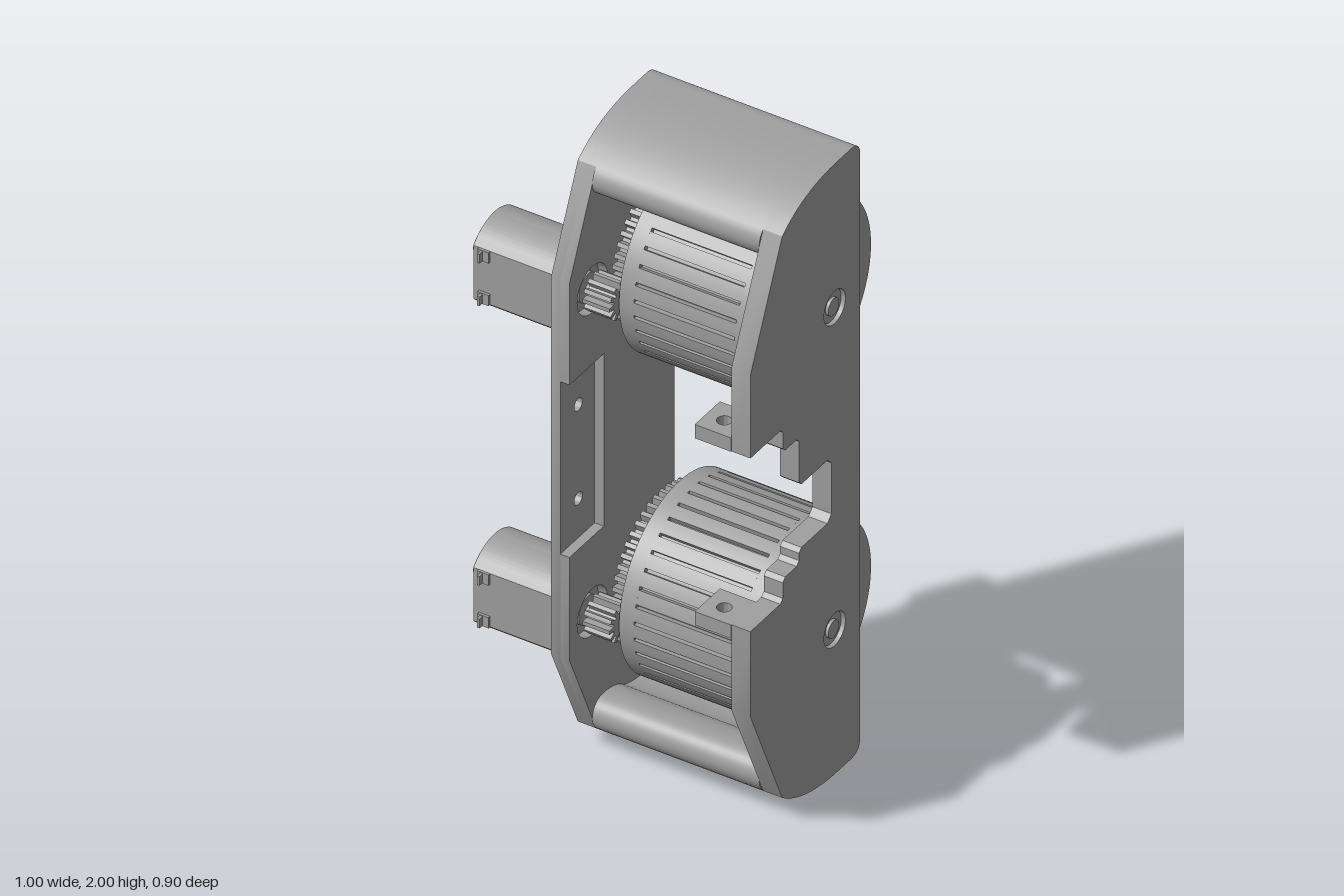
import * as THREE from 'three';
import { toCreasedNormals } from 'three/addons/utils/BufferGeometryUtils.js';

const grey = new THREE.MeshStandardMaterial({ color: 0xa0a0a0 });
grey.name = 'grey';

const V = (x, y) => new THREE.Vector2(x, y);
const BACK = -0.294, BACK_STEP = -0.265, BACK_IN = -0.236, FRONT_IN = 0.29, FRONT = 0.35;
const WHEEL_U = 0.122, MOTOR_U = -0.156, OFFSET = 0.528;

function add(parent, name, geometry) {
  const m = new THREE.Mesh(geometry, grey);
  m.name = name;
  parent.add(m);
  return m;
}

// Flat outline pushed from z0 to z1, with soft curves and sharp edges
function slab(parent, name, shape, z0, z1) {
  const g = new THREE.ExtrudeGeometry(shape, { depth: z1 - z0, bevelEnabled: false, curveSegments: 24 });
  g.translate(0, 0, z0);
  return add(parent, name, toCreasedNormals(g, 0.5));
}

// Cylinder along z
function rod(parent, name, x, y, r, z0, z1, sides = 32) {
  const g = new THREE.CylinderGeometry(r, r, z1 - z0, sides);
  g.rotateX(Math.PI / 2).translate(x, y, (z0 + z1) / 2);
  return add(parent, name, g);
}

function hole(shape, x, y, r) {
  shape.holes.push(new THREE.Path().absarc(x, y, r, 0, Math.PI * 2, true));
}

// Upper half of a side plate outline, from the rear edge over the top
function upperOutline() {
  const p = new THREE.Path();
  p.moveTo(0.248, 1.955);
  p.quadraticCurveTo(0.248, 2, 0.2, 2);
  p.lineTo(0.12, 2);
  p.quadraticCurveTo(-0.04, 1.995, -0.137, 1.92);
  return p.getPoints(14);
}

function plateShape(edge, edgeY, middle) {
  const up = [...upperOutline(), V(edge, edgeY)];
  const down = up.map(p => V(p.x, 2 - p.y)).reverse();
  return new THREE.Shape([...up, ...middle, ...down]);
}

// Circle with evenly spaced teeth or grooves
function toothed(n, rOut, rIn, outer, inner) {
  const pts = [], step = Math.PI * 2 / n;
  for (let i = 0; i < n; i++) {
    const a = i * step;
    for (let k = 0; k <= 3; k++) {
      const b = a + (k / 3 - 0.5) * outer * step;
      pts.push(V(Math.cos(b) * rOut, Math.sin(b) * rOut));
    }
    for (const s of [-0.5, 0.5]) {
      const b = a + step / 2 + s * inner * step;
      pts.push(V(Math.cos(b) * rIn, Math.sin(b) * rIn));
    }
  }
  return new THREE.Shape(pts);
}

function wheel(parent, y) {
  const g = new THREE.Group();
  g.name = 'wheel';
  g.position.set(WHEEL_U, y, 0);
  rod(g, 'frontRim', 0, 0, 0.295, 0.222, 0.276, 108);
  rod(g, 'backRim', 0, 0, 0.295, -0.141, -0.095, 108);
  slab(g, 'groovedTread', toothed(36, 0.295, 0.277, 0.8, 0.2), -0.095, 0.222);
  slab(g, 'ringGear', toothed(48, 0.245, 0.222, 0.4, 0.35), -0.2, -0.141);
  rod(g, 'axle', 0, 0, 0.051, BACK + 0.018, FRONT - 0.012);
  rod(g, 'axlePin', 0, 0, 0.027, BACK + 0.006, FRONT - 0.003);
  parent.add(g);
}

function motor(parent, y) {
  const g = new THREE.Group();
  g.name = 'motor';
  g.position.set(MOTOR_U, y, 0);
  // Round can with flattened sides
  const can = (r, half) => {
    const a = Math.acos(half / r), s = new THREE.Shape();
    s.absarc(0, 0, r, a, Math.PI - a, false);
    s.absarc(0, 0, r, Math.PI + a, 2 * Math.PI - a, false);
    return s;
  };
  slab(g, 'motorCan', can(0.135, 0.103), -0.545, BACK);
  slab(g, 'motorEndPlate', can(0.122, 0.092), -0.552, -0.545);
  rod(g, 'rearBearing', 0, 0, 0.052, -0.576, -0.552);
  rod(g, 'rearBearingCap', 0, 0, 0.028, -0.586, -0.576);
  rod(g, 'motorShaft', 0, 0, 0.013, -0.604, -0.145, 16);
  rod(g, 'frontBoss', 0, 0, 0.045, BACK, -0.25);
  slab(g, 'pinion', toothed(12, 0.058, 0.038, 0.4, 0.35), -0.23, -0.145);
  for (const s of [-1, 1]) {
    const t = add(g, 'terminal', new THREE.BoxGeometry(0.03, 0.03, 0.008));
    t.position.set(-0.112, s * 0.07, -0.515);
    const clip = add(g, 'terminalClip', new THREE.BoxGeometry(0.008, 0.035, 0.035));
    clip.position.set(-0.107, s * 0.07, -0.51);
  }
  parent.add(g);
}

export function createModel() {
  const model = new THREE.Group();
  model.name = 'wheelModule';
  const body = new THREE.Group();
  body.name = 'turnedBody';
  body.rotation.y = Math.PI / 6;
  model.add(body);

  // Front plate with stepped cut-out
  const front = plateShape(-0.294, 1.56, [
    V(-0.294, 1.288), V(-0.146, 1.288), V(-0.134, 1.276), V(-0.134, 1.222), V(-0.122, 1.21),
    V(-0.066, 1.21), V(-0.054, 1.198), V(-0.054, 1.062), V(-0.042, 1.05),
    V(0.086, 1.05), V(0.106, 1.03), V(0.106, 0.863), V(0.086, 0.843),
    V(-0.042, 0.843), V(-0.054, 0.831), V(-0.054, 0.807), V(-0.066, 0.795),
    V(-0.122, 0.795), V(-0.134, 0.783), V(-0.134, 0.732), V(-0.146, 0.72), V(-0.294, 0.72),
  ]);
  // Back plate in two layers: the inner one has a shallow recess
  const backOuter = plateShape(-0.269, 1.618, []);
  const backInner = plateShape(-0.269, 1.618, [
    V(-0.269, 1.285), V(-0.1, 1.285), V(-0.1, 0.72), V(-0.269, 0.72),
  ]);
  for (const s of [-1, 1]) {
    const y = 1.002 + s * OFFSET;
    for (const p of [front, backOuter, backInner]) hole(p, WHEEL_U, y, 0.053);
    hole(backInner, MOTOR_U, y, 0.075);
    hole(backOuter, -0.18, 1.002 + s * 0.154, 0.02);
    hole(backOuter, 0.193, 1 + s * 0.935, 0.02);
    hole(backOuter, -0.087, 1 + s * 0.884, 0.02);
    wheel(body, y);
    motor(body, y);
  }
  slab(body, 'frontPlate', front, FRONT_IN, FRONT);
  slab(body, 'backPlateOuter', backOuter, BACK, BACK_STEP);
  slab(body, 'backPlateInner', backInner, BACK_STEP, BACK_IN);

  // End bars joining the plates, with a rounded front edge
  const curve = new THREE.Path();
  curve.moveTo(-0.137, 1.92);
  curve.bezierCurveTo(-0.175, 1.885, -0.155, 1.825, -0.105, 1.825);
  curve.quadraticCurveTo(-0.04, 1.825, 0, 1.86);
  curve.quadraticCurveTo(0.05, 1.88, 0.12, 1.88);
  curve.lineTo(0.215, 1.88);
  curve.quadraticCurveTo(0.248, 1.88, 0.248, 1.91);
  const bar = [...upperOutline(), ...curve.getPoints(12).slice(1)];
  slab(body, 'topBar', new THREE.Shape(bar), BACK_IN, FRONT_IN);
  slab(body, 'bottomBar', new THREE.Shape(bar.map(p => V(p.x, 2 - p.y))), BACK_IN, FRONT_IN);

  // Drilled mounting tabs folded inward from the front plate
  for (const y of [1.288, 0.675]) {
    const tab = new THREE.Shape([V(-0.296, -FRONT_IN), V(-0.172, -FRONT_IN), V(-0.172, -0.176), V(-0.296, -0.176)]);
    hole(tab, -0.238, -0.232, 0.021);
    const m = slab(body, 'mountingTab', tab, 0, 0.045);
    m.rotation.x = -Math.PI / 2;
    m.position.y = y;
  }
  return model;
}
